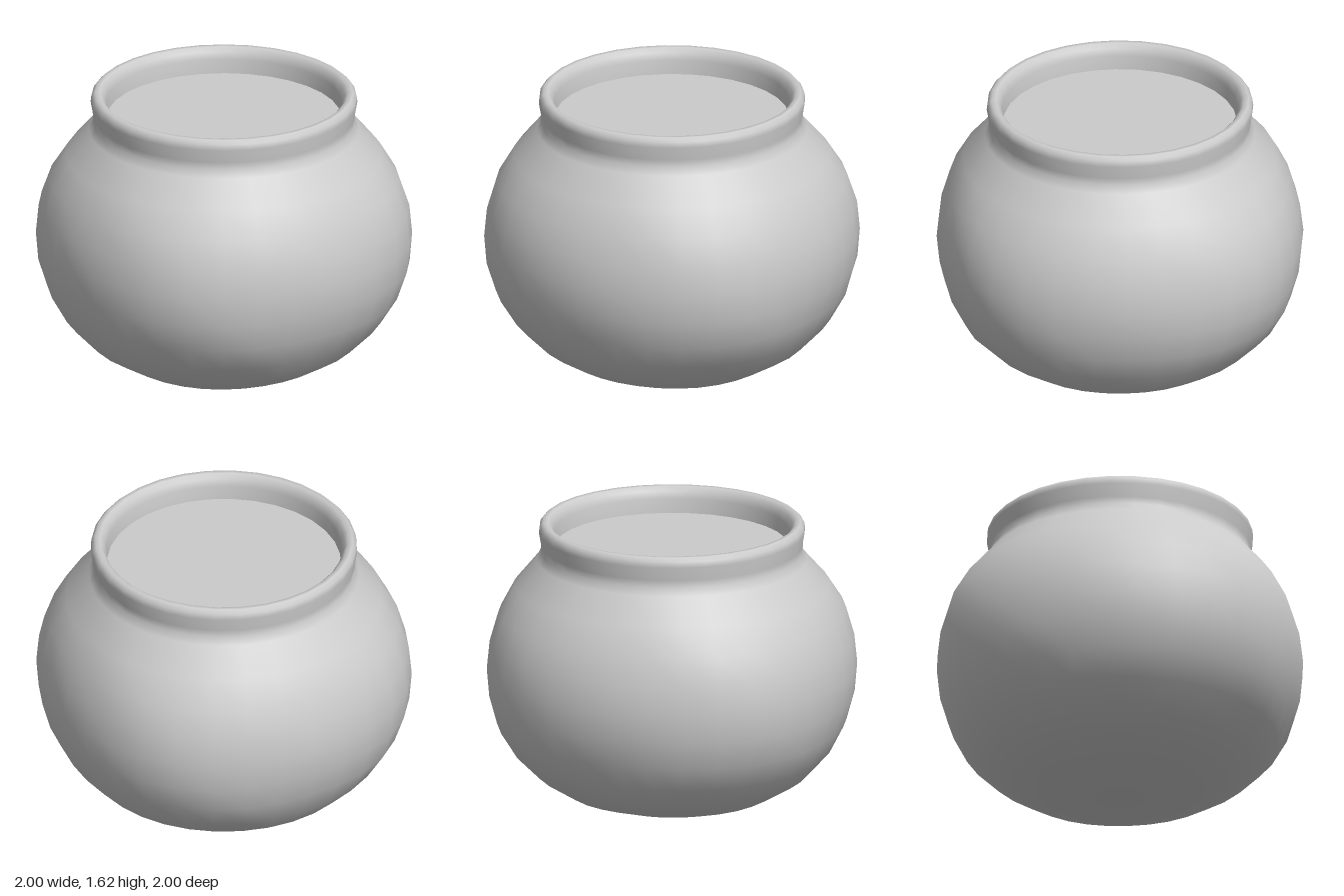
import * as THREE from 'three';
import { mergeVertices } from 'three/addons/utils/BufferGeometryUtils.js';

const SEGMENTS = 32;
const CENTRE_Y = 0.798; // middle of the belly
const HALF_HEIGHT = 0.797;
const DISC_Y = 1.48;

// Slight rounded-cube swelling of the belly between the main axes
function bulge(d) {
  const s = Math.min(1, 2 * (1 - d.x ** 4 - d.y ** 4 - d.z ** 4));
  const vertical = 4 * d.y * d.y * (1 - d.y * d.y);
  return 1 + (0.032 + 0.014 * vertical) * Math.pow(Math.max(0, s), 1.5);
}

function createVesselGeometry() {
  // Belly as part of a unit sphere, from the bottom pole upwards
  const bellySteps = 11;
  const profile = [];
  for (let i = 0; i <= bellySteps; i++) {
    const a = THREE.MathUtils.degToRad(i * 11.3);
    profile.push(new THREE.Vector2(Math.sin(a), -Math.cos(a)));
  }
  // Neck, rounded lip and inner wall
  const neck = [
    [0.737, 1.41], [0.714, 1.455], [0.714, 1.495], [0.727, 1.57],
    [0.723, 1.602], [0.703, 1.623], [0.678, 1.622], [0.656, 1.6],
    [0.643, 1.56], [0.638, DISC_Y],
  ];
  neck.forEach(([r, y]) => profile.push(new THREE.Vector2(r, y)));

  let geometry = new THREE.LatheGeometry(profile, SEGMENTS);
  const pos = geometry.attributes.position;
  const p = new THREE.Vector3();
  for (let i = 0; i < pos.count; i++) {
    if (i % profile.length > bellySteps) continue;
    p.fromBufferAttribute(pos, i);
    p.multiplyScalar(bulge(p));
    pos.setXYZ(i, p.x, CENTRE_Y + p.y * HALF_HEIGHT, p.z);
  }
  // Weld the seam and pole so the shading is smooth all round
  geometry.deleteAttribute('uv');
  geometry.deleteAttribute('normal');
  geometry = mergeVertices(geometry, 1e-4);
  geometry.computeVertexNormals();
  return geometry;
}

export function createModel() {
  const group = new THREE.Group();
  group.name = 'roundPot';
  const material = new THREE.MeshStandardMaterial({ color: 0xcccccc });

  const vessel = new THREE.Mesh(createVesselGeometry(), material);
  vessel.name = 'vessel';
  group.add(vessel);

  // Flat surface closing the mouth just below the lip
  const disc = new THREE.Mesh(new THREE.CircleGeometry(0.638, SEGMENTS), material);
  disc.name = 'mouthSurface';
  disc.rotation.x = -Math.PI / 2;
  disc.position.y = DISC_Y;
  group.add(disc);

  return group;
}
